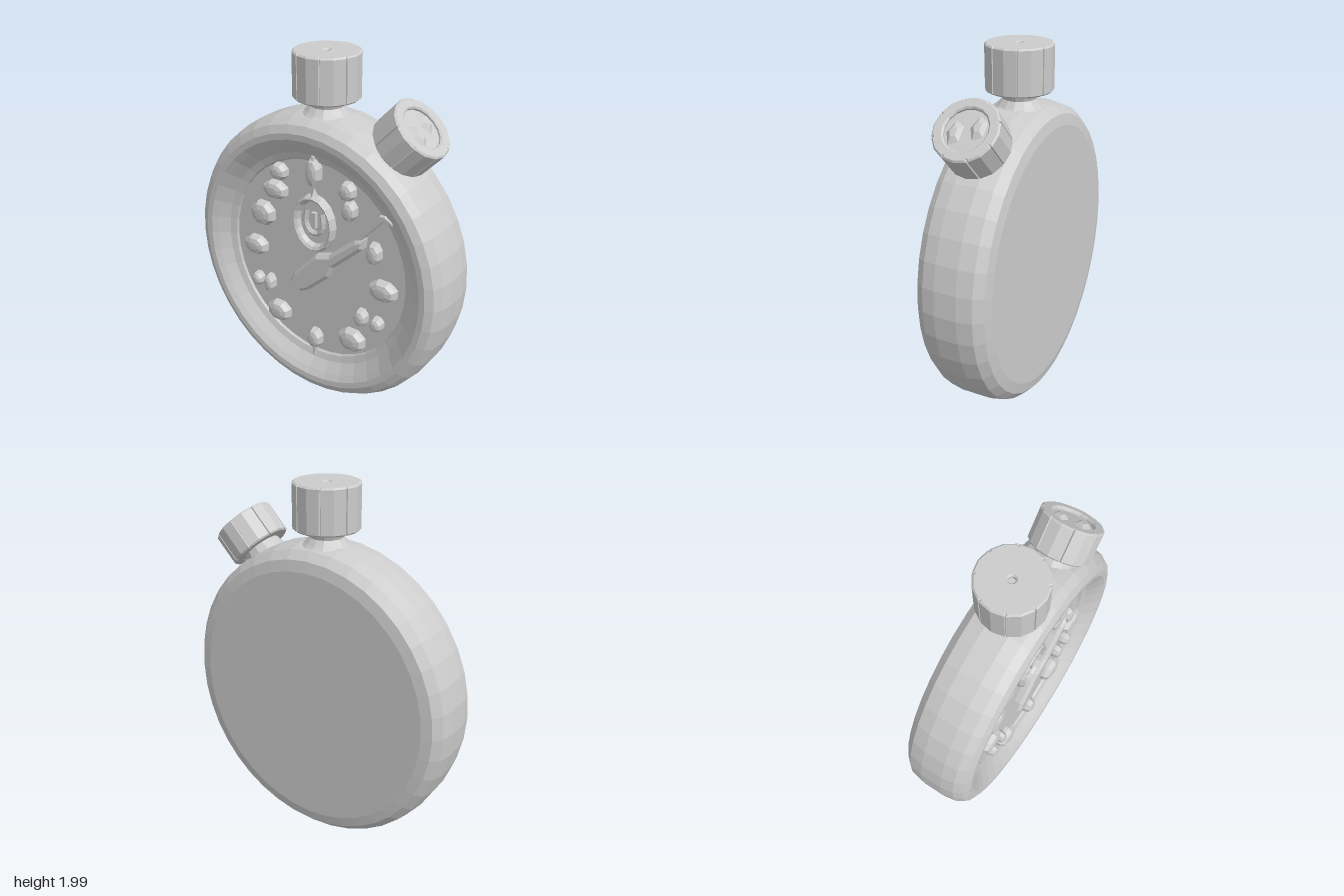
import * as THREE from 'three';

const material = new THREE.MeshStandardMaterial({ color: 0xcccccc, flatShading: true });
const CENTRE_Y = 0.85, DIAL_Z = 0.1;
const v2 = (pts) => pts.map(([x, y]) => new THREE.Vector2(x, y));

function addMesh(parent, name, geometry, x = 0, y = 0, z = 0) {
  const mesh = new THREE.Mesh(geometry, material);
  mesh.name = name;
  mesh.position.set(x, y, z);
  parent.add(mesh);
  return mesh;
}

// Lathe turned so its axis points to the front
function frontLathe(pts, segments, sx, sy, sz = 1) {
  return new THREE.LatheGeometry(v2(pts), segments).rotateX(Math.PI / 2).scale(sx, sy, sz);
}

// Notched octagonal outline shared by both buttons
function flutedShape(r) {
  const pts = [];
  for (let i = 0; i < 8; i++) {
    for (const [offset, k] of [[-0.34, 1], [0, 1.01], [0.34, 1], [0.36, 0.95], [0.425, 0.95]]) {
      const a = i * Math.PI / 4 + offset;
      pts.push(new THREE.Vector2(Math.cos(a) * r * k, Math.sin(a) * r * k));
    }
  }
  return new THREE.Shape(pts);
}

// Fluted button standing on y = 0 with a shallow well in its top
function makeButton(name, r, height, wellRadius, wellDepth) {
  const group = new THREE.Group();
  group.name = name;
  const rim = flutedShape(r - 0.008);
  rim.holes.push(new THREE.Path().absarc(0, 0, wellRadius, 0, Math.PI * 2, true));
  const bevel = 0.008;
  const options = {
    depth: height - 2 * bevel, bevelEnabled: true, bevelThickness: bevel,
    bevelSize: bevel, bevelSegments: 1, curveSegments: 8,
  };
  addMesh(group, 'flutedGrip', new THREE.ExtrudeGeometry(rim, options).rotateX(-Math.PI / 2), 0, bevel, 0);
  const coreHeight = height - wellDepth;
  addMesh(group, 'gripCore', new THREE.CylinderGeometry(wellRadius + 0.01, wellRadius + 0.01, coreHeight - 0.002, 16),
    0, coreHeight / 2 + 0.001, 0);
  return group;
}

// Faceted pebble used for the hour markers
function addMarker(parent, x, y, w, h, depth = 0.055) {
  const profile = [[1.1, -0.2], [1.08, 0.4], [0.88, 0.85], [0.45, 1], [0, 1.02]];
  const geometry = new THREE.LatheGeometry(v2(profile), 8, Math.PI / 8)
    .rotateX(Math.PI / 2).scale(w / 2, h / 2, depth);
  addMesh(parent, 'hourMarker', geometry, x, y, DIAL_Z);
}

function extrudeOutline(pts, depth, bevel) {
  return new THREE.ExtrudeGeometry(new THREE.Shape(v2(pts)), {
    depth, bevelEnabled: true, bevelThickness: bevel, bevelSize: bevel, bevelOffset: -bevel, bevelSegments: 1,
  });
}

export function createModel() {
  const model = new THREE.Group();
  model.name = 'stopwatch';

  // Case: flat back, rounded side, raised rim and sunken dial
  const caseProfile = [
    [0, -0.195], [0.86, -0.195], [0.93, -0.183], [0.98, -0.14], [1, -0.06], [1, 0.06],
    [0.985, 0.13], [0.95, 0.175], [0.9, 0.194], [0.86, 0.192], [0.82, 0.17], [0.755, 0.125],
    [0.71, 0.112], [0.7, DIAL_Z], [0, DIAL_Z],
  ];
  addMesh(model, 'case', frontLathe(caseProfile, 40, 0.805, 0.842), 0, CENTRE_Y, 0);

  // Hour markers: x, y, width, height
  const dial = new THREE.Group();
  dial.name = 'dialMarkers';
  model.add(dial);
  const markers = [
    [0, 1.385, 0.08, 0.16], [0.21, 1.335, 0.09, 0.1], [0.225, 1.23, 0.08, 0.11],
    [0.38, 1.03, 0.08, 0.12], [0.44, 0.825, 0.16, 0.11],
    [0.31, 0.61, 0.075, 0.1], [0.41, 0.605, 0.075, 0.08],
    [0.25, 0.435, 0.16, 0.13], [0, 0.345, 0.09, 0.12], [-0.26, 0.435, 0.15, 0.12],
    [-0.41, 0.605, 0.07, 0.08], [-0.32, 0.605, 0.06, 0.11],
    [-0.415, 0.83, 0.15, 0.11], [-0.355, 1.05, 0.15, 0.14],
    [-0.26, 1.22, 0.15, 0.1], [-0.23, 1.335, 0.1, 0.09],
  ];
  for (const m of markers) addMarker(dial, ...m);

  // Narrow ticks at the top and bottom of the dial
  for (const [y, tip] of [[1.42, 0.06], [0.285, -0.06]]) {
    const points = [[-0.018, -tip], [0.018, -tip], [0.008, tip], [-0.008, tip]];
    if (tip < 0) points.reverse();
    addMesh(dial, 'dialTick', extrudeOutline(points, 0.03, 0.004), 0, y, DIAL_Z);
  }

  // Small counter dial with a raised ring and a U-shaped mark
  const counter = new THREE.Group();
  counter.name = 'counterDial';
  counter.position.set(0, 1.09, DIAL_Z);
  model.add(counter);
  const ringProfile = [[1.02, -0.01], [1, 0.03], [0.92, 0.045], [0.82, 0.035], [0.76, 0.008], [0, 0.008]];
  addMesh(counter, 'counterRing', frontLathe(ringProfile, 16, 0.13, 0.165));
  const markCurve = new THREE.CatmullRomCurve3([
    [-0.05, 0.07], [-0.055, -0.01], [-0.025, -0.055], [0.025, -0.055], [0.055, -0.01], [0.05, 0.07],
  ].map(([x, y]) => new THREE.Vector3(x, y, 0.015)));
  addMesh(counter, 'counterMark', new THREE.TubeGeometry(markCurve, 12, 0.016, 5));
  addMesh(counter, 'counterPointer', new THREE.BoxGeometry(0.025, 0.09, 0.03), 0, 0.02, 0.015);
  addMesh(counter, 'counterPeak', new THREE.ConeGeometry(0.03, 0.06, 4), 0, 0.18, 0.015);

  // Hand: broad counterweight narrowing to a thin bent tip
  const hand = new THREE.Group();
  hand.name = 'hand';
  hand.position.z = DIAL_Z;
  model.add(hand);
  addMesh(hand, 'handBody', extrudeOutline([
    [-0.16, 0.69], [-0.14, 0.65], [-0.09, 0.64], [-0.03, 0.67], [0.11, 0.8], [0.14, 0.87],
    [0.32, 1.04], [0.33, 1.1], [0.27, 1.08], [0.11, 0.94], [0.02, 0.91], [-0.13, 0.75],
  ], 0.035, 0.018));
  addMesh(hand, 'handTip', extrudeOutline([
    [0.1, 0.89], [0.13, 0.89], [0.435, 1.235], [0.485, 1.225], [0.485, 1.24], [0.44, 1.265], [0.41, 1.26],
  ], 0.03, 0.004));

  // Crown on a flared neck
  addMesh(model, 'crownNeck', new THREE.LatheGeometry(v2([
    [0.17, 1.64], [0.115, 1.69], [0.09, 1.72], [0.1, 1.75], [0.12, 1.78],
  ]), 14));
  const crown = makeButton('crown', 0.175, 0.24, 0.025, 0.025);
  crown.position.y = 1.76;
  model.add(crown);

  // Tilted side pusher with a dished top
  const pusher = makeButton('sidePusher', 0.168, 0.18, 0.12, 0.018);
  pusher.position.set(0.43, 1.585, 0);
  pusher.rotation.z = -0.76;
  model.add(pusher);
  addMesh(pusher, 'pusherNeck', new THREE.CylinderGeometry(0.1, 0.13, 0.12, 14), 0, -0.04, 0);
  for (const side of [-1, 1]) {
    const ridge = addMesh(pusher, 'pusherRidge', new THREE.CylinderGeometry(0.02, 0.045, 0.02, 5),
      side * 0.02, 0.17, side * 0.055);
    ridge.scale.x = 1.6;
  }

  return model;
}
